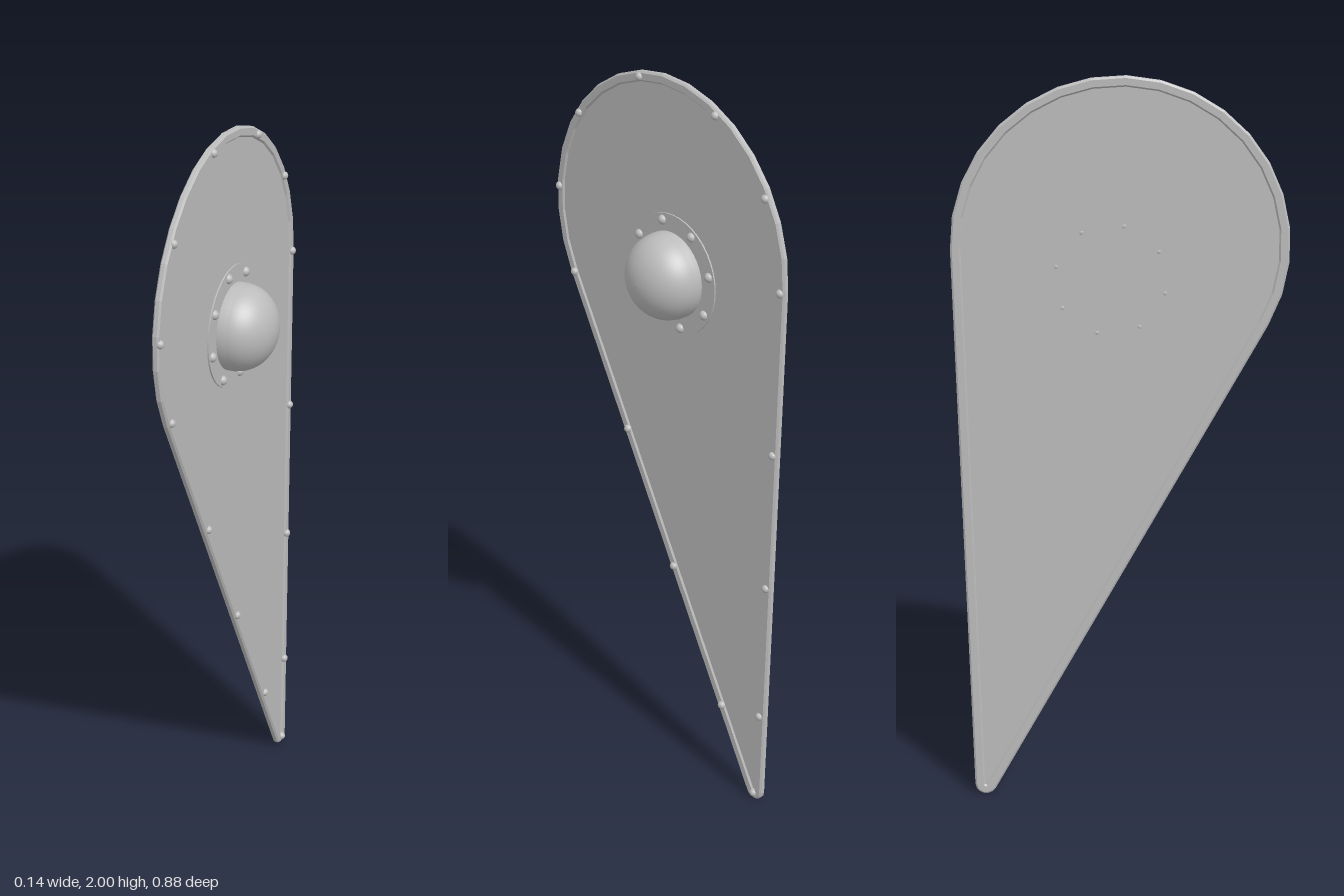
import * as THREE from 'three';

const TOP = { u: 0, v: 1.56, r: 0.44 };      // large circle at the head
const TIP = { u: 0.373, v: 0.03, r: 0.03 };  // small circle at the point
const BOSS = { u: 0.025, v: 1.47 };

// Teardrop outline: two circles joined by their tangents, drawn in by an inset
function outline(inset) {
  const du = TIP.u - TOP.u, dv = TIP.v - TOP.v;
  const axis = Math.atan2(dv, du);
  const spread = Math.acos((TOP.r - TIP.r) / Math.hypot(du, dv));
  const a0 = axis + spread, a1 = axis - spread + Math.PI * 2;
  const points = [];
  const arc = (c, from, to, n) => {
    for (let i = 0; i <= n; i++) {
      const a = from + (to - from) * i / n;
      points.push(new THREE.Vector2(c.u + Math.cos(a) * (c.r - inset), c.v + Math.sin(a) * (c.r - inset)));
    }
  };
  arc(TOP, a0, a1, 18);
  arc(TIP, a1, a0 + Math.PI * 2, 6);
  return points;
}

// Rim: a chamfered section [inset, depth] swept round the outline
function rimGeometry() {
  const section = [[0, -0.066], [0, -0.056], [0.005, -0.0515], [0.023, -0.0515],
    [0.028, -0.0565], [0.028, -0.0655], [0.023, -0.0705], [0.005, -0.0705]];
  const rings = section.map(([inset, w]) => outline(inset).map(p => [p.x, p.y, w]));
  const positions = [];
  const n = rings[0].length, m = rings.length;
  for (let i = 0; i < n; i++) {
    for (let j = 0; j < m; j++) {
      const i2 = (i + 1) % n, j2 = (j + 1) % m;
      const a = rings[j][i], b = rings[j][i2], c = rings[j2][i2], d = rings[j2][i];
      positions.push(...a, ...b, ...c, ...a, ...c, ...d);
    }
  }
  const geometry = new THREE.BufferGeometry();
  geometry.setAttribute('position', new THREE.Float32BufferAttribute(positions, 3));
  geometry.computeVertexNormals();
  return geometry;
}

export function createModel() {
  const steel = new THREE.MeshStandardMaterial({ color: 0xbcbcbc });
  steel.name = 'steel grey';

  const model = new THREE.Group();
  model.name = 'shield';
  // Parts are laid out in a plane facing +z, then turned to face +x
  const body = new THREE.Group();
  body.name = 'shieldBody';
  body.rotation.y = Math.PI / 2;
  model.add(body);

  const add = (name, geometry, u = 0, v = 0, w = 0) => {
    const mesh = new THREE.Mesh(geometry, steel);
    mesh.name = name;
    mesh.position.set(u, v, w);
    body.add(mesh);
    return mesh;
  };

  // Board and rim
  add('board', new THREE.ExtrudeGeometry(new THREE.Shape(outline(0.014)),
    { depth: 0.01, bevelEnabled: false }), 0, 0, -0.066);
  add('rim', rimGeometry());

  // Round flange under the boss
  const flange = new THREE.CylinderGeometry(0.165, 0.165, 0.006, 40).rotateX(Math.PI / 2);
  add('bossFlange', flange, BOSS.u, BOSS.v, -0.055);

  // Boss: short collar, then a dome
  const collar = [[0.117, -0.056], [0.117, -0.03], [0.113, -0.025]].map(p => new THREE.Vector2(...p));
  add('bossCollar', new THREE.LatheGeometry(collar, 40).rotateX(Math.PI / 2), BOSS.u, BOSS.v);
  const dome = [];
  for (let i = 0; i <= 14; i++) {
    const a = Math.PI / 2 * i / 14;
    dome.push(new THREE.Vector2(i === 14 ? 0 : 0.116 * Math.cos(a), -0.033 + 0.1 * Math.sin(a)));
  }
  add('bossDome', new THREE.LatheGeometry(dome, 40).rotateX(Math.PI / 2), BOSS.u, BOSS.v);

  // Rivets round the boss
  const rivet = new THREE.SphereGeometry(0.0135, 14, 10);
  for (let i = 0; i < 8; i++) {
    const a = THREE.MathUtils.degToRad(14 + 45 * i);
    add('bossRivet', rivet, BOSS.u + Math.cos(a) * 0.146, BOSS.v + Math.sin(a) * 0.146, -0.054);
  }

  // Rivets along the rim
  const smallRivet = new THREE.SphereGeometry(0.0115, 14, 10);
  const spots = [[-0.1, 1.973], [0.183, 1.942], [0.365, 1.777], [0.425, 1.545], [0.414, 1.09],
    [0.402, 0.69], [0.39, 0.28], [0.374, 0.02], [0.241, 0.244], [0.04, 0.602],
    [-0.15, 0.955], [-0.369, 1.353], [-0.427, 1.586], [-0.34, 1.815]];
  for (const [u, v] of spots) add('rimRivet', smallRivet, u, v, -0.053);

  return model;
}
